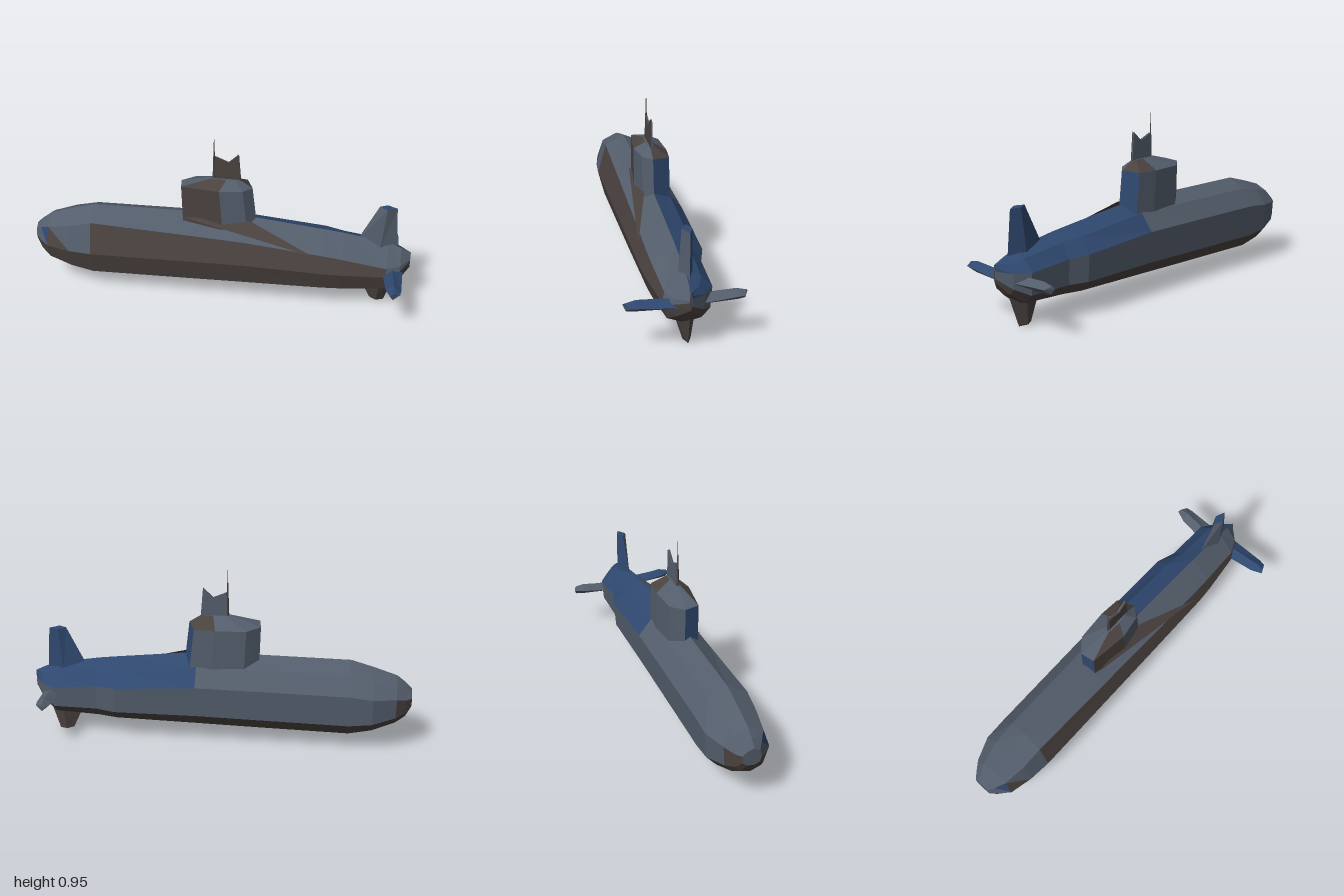
import * as THREE from 'three';

const SLATE = 0, BROWN = 1, BLUE = 2;

export function createModel() {
  const group = new THREE.Group();
  const paint = (name, color) => {
    const m = new THREE.MeshStandardMaterial({ color, flatShading: true });
    m.name = name;
    return m;
  };
  const mats = [paint('slate', 0x535d6b), paint('brown', 0x4a423f), paint('navy blue', 0x2f486f)];

  const add = (name, geometry, material) => {
    const mesh = new THREE.Mesh(geometry, material);
    mesh.name = name;
    group.add(mesh);
    return mesh;
  };

  // Joins cross-sections into a closed faceted solid; colour(segment, side, half) picks the paint.
  // Caps call colour with segment -1 (first ring) or rings.length - 1 (last ring).
  function loft(name, sections, colour) {
    const rings = sections.map(r => r.map(p => new THREE.Vector3(...p)));
    const all = rings.flat();
    const centre = all.reduce((s, p) => s.add(p), new THREE.Vector3()).divideScalar(all.length);
    const geo = new THREE.BufferGeometry();
    const pos = [];
    const tri = (a, b, c, m) => {
      const n = b.clone().sub(a).cross(c.clone().sub(a));
      const mid = a.clone().add(b).add(c).divideScalar(3).sub(centre);
      const t = n.dot(mid) < 0 ? [a, c, b] : [a, b, c];
      geo.addGroup(pos.length / 3, 3, m);
      t.forEach(p => pos.push(p.x, p.y, p.z));
    };
    const n = rings[0].length, last = rings.length - 1;
    for (let i = 0; i < last; i++) for (let j = 0; j < n; j++) {
      const k = (j + 1) % n, A = rings[i], B = rings[i + 1];
      tri(A[j], A[k], B[k], colour(i, j, 0));
      tri(A[j], B[k], B[j], colour(i, j, 1));
    }
    for (const [ring, seg] of [[rings[0], -1], [rings[last], last]])
      for (let j = 1; j < n - 1; j++) tri(ring[0], ring[j], ring[j + 1], colour(seg, j, 0));
    geo.setAttribute('position', new THREE.Float32BufferAttribute(pos, 3));
    geo.computeVertexNormals();
    return add(name, geo, mats);
  }

  // Hull stations: x, bottom, top, width toward -z, width toward +z, shoulder height
  const stations = [
    [-1.0, 0.235, 0.33, 0.06, 0.04, 0.31],
    [-0.97, 0.18, 0.36, 0.085, 0.07, 0.33],
    [-0.92, 0.145, 0.40, 0.12, 0.115, 0.36],
    [-0.8, 0.10, 0.44, 0.165, 0.14, 0.385],
    [-0.68, 0.07, 0.475, 0.165, 0.15, 0.42],
    [-0.2, 0.078, 0.48, 0.165, 0.15, 0.40],
    [0.12, 0.085, 0.48, 0.165, 0.15, 0.385],
    [0.55, 0.097, 0.432, 0.165, 0.145, 0.34],
    [0.65, 0.10, 0.42, 0.132, 0.138, 0.325],
    [0.88, 0.115, 0.382, 0.13, 0.11, 0.28],
    [0.95, 0.17, 0.355, 0.08, 0.07, 0.28],
    [1.0, 0.24, 0.33, 0.006, 0.006, 0.29],
  ];
  const hullRings = stations.map(([x, lo, hi, back, front, shoulder]) => {
    const h = hi - lo, f = (shoulder - lo) / h;
    const at = (z, y) => [x, lo + h * y, z * (z > 0 ? front : back)];
    return [at(0, 1), at(1 - 0.75 * (f - 0.45), f), at(1, 0.45), at(0.77, 0.12), at(0, 0),
      at(-0.62, 0.07), at(-0.94, 0.24), at(-1, 0.66), at(-0.58, 0.88)];
  });
  loft('hull', hullRings, (i, j, half) => {
    if (i < 0) return SLATE;
    if (j >= 2 && j <= 5) return BROWN;
    if (j === 0) return SLATE;
    if (j === 1) {
      if (i === 1 && half === 1) return BLUE;
      if (i === 2 && half === 0) return BROWN;
      return i < 4 || i > 8 ? SLATE : BROWN;
    }
    if (j === 6) return i < 2 ? BROWN : SLATE;
    return i >= 6 ? BLUE : SLATE;
  });

  // Brown fairing running aft from the foot of the sail
  const fairing = new THREE.BufferGeometry().setFromPoints([
    new THREE.Vector3(-0.19, 0.478, 0.06), new THREE.Vector3(0.5, 0.352, 0.143),
    new THREE.Vector3(0.16, 0.475, 0.045)]);
  fairing.computeVertexNormals();
  const fairingPaint = mats[BROWN].clone();
  fairingPaint.side = THREE.DoubleSide;
  add('sailFairing', fairing, fairingPaint);

  // Sail with a sloped roof
  const plan = [[-0.21, -0.03], [-0.14, -0.09], [0.02, -0.1], [0.13, -0.09],
    [0.165, 0], [0.12, 0.05], [0, 0.07], [-0.2, 0.045]];
  const level = (y, sx, sz, dx, tilt = 0) =>
    plan.map(([x, z]) => [x * sx + dx, y + z * tilt, z * sz]);
  loft('sail', [level(0.4, 1.06, 1, 0.02), level(0.65, 1, 1, 0, 0.08), level(0.695, 0.4, 0.2, 0.03)],
    (i, j) => {
      if (i === 0) return [SLATE, SLATE, SLATE, BLUE, SLATE, SLATE, BROWN, BLUE][j];
      if (i === 1) return j === 2 || j === 3 || j === 6 ? BROWN : SLATE;
      return SLATE;
    });

  // Notched mast plate, brown on the front and slate on the back
  const mast = new THREE.Shape([[-0.035, 0.68], [0.105, 0.68], [0.092, 0.84], [0.04, 0.79], [-0.03, 0.82]]
    .map(p => new THREE.Vector2(...p)));
  [[BROWN, -0.004, 'mastFront'], [SLATE, -0.01, 'mastBack']].forEach(([m, z, name]) => {
    const g = new THREE.ExtrudeGeometry(mast, { depth: 0.006, bevelEnabled: false });
    add(name, g.translate(0, 0, z), mats[m]);
  });
  const antenna = new THREE.ConeGeometry(0.009, 0.27, 4);
  add('antenna', antenna.translate(-0.035, 0.815, -0.004), mats[BROWN]);

  // Tail fins, each lofted from a diamond root to a diamond tip
  loft('upperFin', [
    [[0.72, 0.38, -0.01], [0.84, 0.36, 0.025], [0.93, 0.34, -0.01], [0.84, 0.36, -0.045]],
    [[0.82, 0.59, -0.012], [0.86, 0.588, 0.015], [0.91, 0.585, -0.015], [0.86, 0.588, -0.035]],
  ], (i, j) => (i === 0 && j < 2 ? SLATE : BLUE));
  loft('lowerFin', [
    [[0.74, 0.15, -0.01], [0.86, 0.2, 0.06], [0.95, 0.22, -0.01], [0.86, 0.2, -0.06]],
    [[0.805, 0.008, -0.02], [0.84, 0.004, 0], [0.88, 0, -0.02], [0.84, 0.004, -0.04]],
  ], () => BROWN);
  [['leftSternPlane', 1, BLUE], ['rightSternPlane', -1, SLATE]].forEach(([name, s, top]) => {
    const dx = s > 0 ? 0 : -0.02;
    loft(name, [
      [[0.86 + dx, 0.24, 0.06 * s], [0.91 + dx, 0.265, 0.06 * s], [0.965 + dx, 0.24, 0.04 * s], [0.91 + dx, 0.215, 0.06 * s]],
      [[0.88 + dx, 0.255, 0.24 * s], [0.92 + dx, 0.281, 0.24 * s], [0.96 + dx, 0.255, 0.24 * s], [0.92 + dx, 0.222, 0.25 * s]],
      [[0.905 + dx, 0.255, 0.298 * s], [0.92 + dx, 0.268, 0.29 * s], [0.955 + dx, 0.255, 0.275 * s], [0.92 + dx, 0.228, 0.285 * s]],
    ], (i, j) => (j < 2 ? top : SLATE));
  });

  return group;
}
